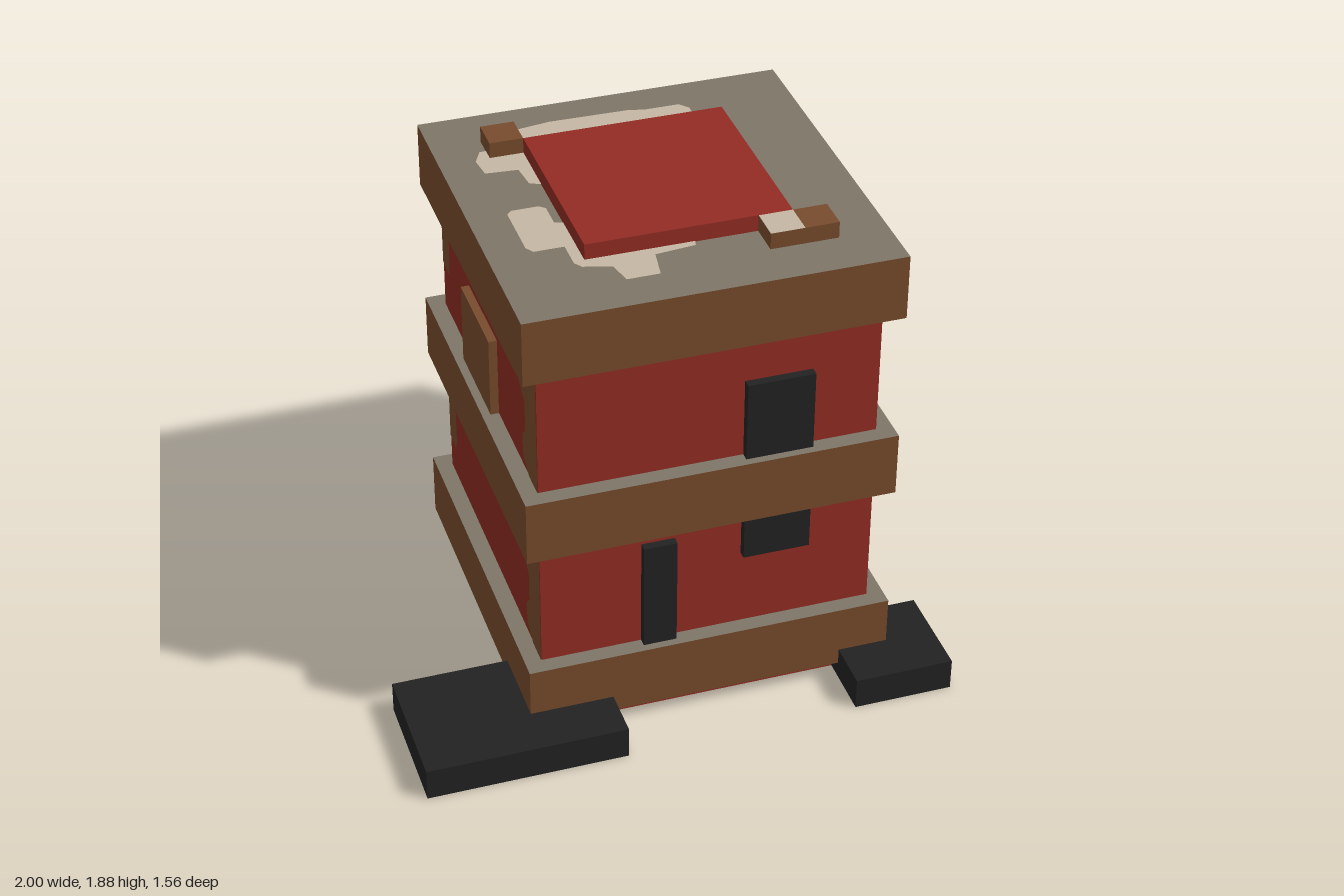
import * as THREE from 'three';

function mat(name, color, extra = {}) {
  const m = new THREE.MeshStandardMaterial({ color, ...extra });
  m.name = name;
  return m;
}

export function createModel() {
  const red = mat('red wall', 0x922c24);
  const brown = mat('brown wood', 0x784c2d);
  const grey = mat('grey ledge', 0x7d7568);
  const tan = mat('tan patch', 0xc6b7a3);
  const black = mat('black', 0x222222);

  const model = new THREE.Group();
  model.name = 'tower';

  // Box given by its limits, with optional colours for top and bottom
  function block(name, [x0, x1], [y0, y1], [z0, z1], side, top = side, bottom = side) {
    const geo = new THREE.BoxGeometry(x1 - x0, y1 - y0, z1 - z0);
    const mesh = new THREE.Mesh(geo, [side, side, top, bottom, side, side]);
    mesh.name = name;
    mesh.position.set((x0 + x1) / 2, (y0 + y1) / 2, (z0 + z1) / 2);
    model.add(mesh);
  }

  // Walls
  block('walls', [-0.5, 0.75], [0, 1.75], [-0.72, 0.53], red, red, black);

  // Projecting floor bands with grey tops
  for (const y of [0.0625, 0.8125, 1.5625]) {
    block('floorBand', [-0.5625, 0.8125], [y, y + 0.25], [-0.7825, 0.5925], brown, grey);
  }

  // Roof hatch and corner blocks
  const roofY = [1.8125, 1.875];
  block('roofHatch', [-0.25, 0.5], roofY, [-0.47, 0.28], red);
  block('roofBlockBack', [-0.375, -0.25], roofY, [-0.595, -0.47], brown);
  block('roofBlockCorner', [0.5, 0.625], roofY, [0.28, 0.405], brown);
  block('roofBlockFront', [0.375, 0.5], roofY, [0.28, 0.405], brown, tan);
  block('roofBlockSide', [0.5, 0.625], roofY, [0.155, 0.28], brown, grey);

  // Door, windows and side shutter
  const frontZ = [0.53, 0.5625];
  block('door', [-0.125, 0], [0.3125, 0.75], frontZ, black);
  block('lowerWindow', [0.25, 0.5], [0.625, 0.8125], frontZ, black);
  block('upperWindow', [0.25, 0.5], [1.0625, 1.375], frontZ, black);
  block('sideShutter', [-0.5313, -0.5], [1.0625, 1.375], [-0.345, 0.03], brown);

  // Ground slabs
  block('groundSlabRight', [-1, -0.25], [0, 0.125], [0.28, 0.78], black);
  block('groundSlabLeft', [0.625, 1], [0, 0.125], [0.405, 0.78], black);

  // Flat patch from an outline
  function patch(name, points, material) {
    const shape = new THREE.Shape(points.map(([a, b]) => new THREE.Vector2(a, b)));
    const mesh = new THREE.Mesh(new THREE.ShapeGeometry(shape), material);
    mesh.name = name;
    model.add(mesh);
    return mesh;
  }

  // Worn patches on the roof, outlines in x and z
  const roofPatches = [
    [[-0.25, -0.47], [-0.25, -0.24], [-0.29, -0.26], [-0.3, -0.36], [-0.42, -0.37], [-0.43, -0.46],
      [-0.4, -0.52], [-0.3, -0.53], [-0.29, -0.63], [-0.2, -0.64], [-0.1, -0.655], [0.2, -0.65],
      [0.26, -0.635], [0.39, -0.635], [0.42, -0.6], [0.42, -0.53], [0.39, -0.505], [0.3, -0.49],
      [0.16, -0.485], [0.13, -0.46]],
    [[-0.42, -0.08], [-0.4, -0.1], [-0.3, -0.1], [-0.28, -0.08], [-0.28, 0.02], [-0.24, 0.03],
      [-0.24, 0.27], [0.15, 0.27], [0.14, 0.305], [-0.01, 0.32], [-0.03, 0.44], [-0.15, 0.44],
      [-0.17, 0.35], [-0.27, 0.32], [-0.29, 0.29], [-0.29, 0.18], [-0.4, 0.18], [-0.42, 0.15]],
  ];
  for (const outline of roofPatches) {
    const mesh = patch('roofPatch', outline.map(([x, z]) => [x, -z]), tan);
    mesh.rotation.x = -Math.PI / 2;
    mesh.position.y = 1.815;
  }

  // Worn patches at both edges of the right wall, outlines in z and y
  for (const y of [0.3125, 1.0625]) {
    const drop = y < 1 ? 0.05 : 0;
    const outlines = [
      [[0.53, 0], [0.53, 0.5], [0.33, 0.5], [0.31, 0.4], [0.33, 0.33], [0.39, 0.29], [0.39, 0.17],
        [0.35, 0.13], [0.36, 0.04], [0.43, 0]],
      [[-0.72, 0.19 - drop], [-0.64, 0.18 - drop], [-0.62, 0.22 - drop], [-0.62, 0.39 - drop],
        [-0.65, 0.42 - drop], [-0.72, 0.42 - drop]],
    ];
    for (const outline of outlines) {
      const mesh = patch('wallPatch', outline, brown);
      mesh.rotation.y = -Math.PI / 2;
      mesh.position.set(-0.5025, y, 0);
    }
  }

  return model;
}
